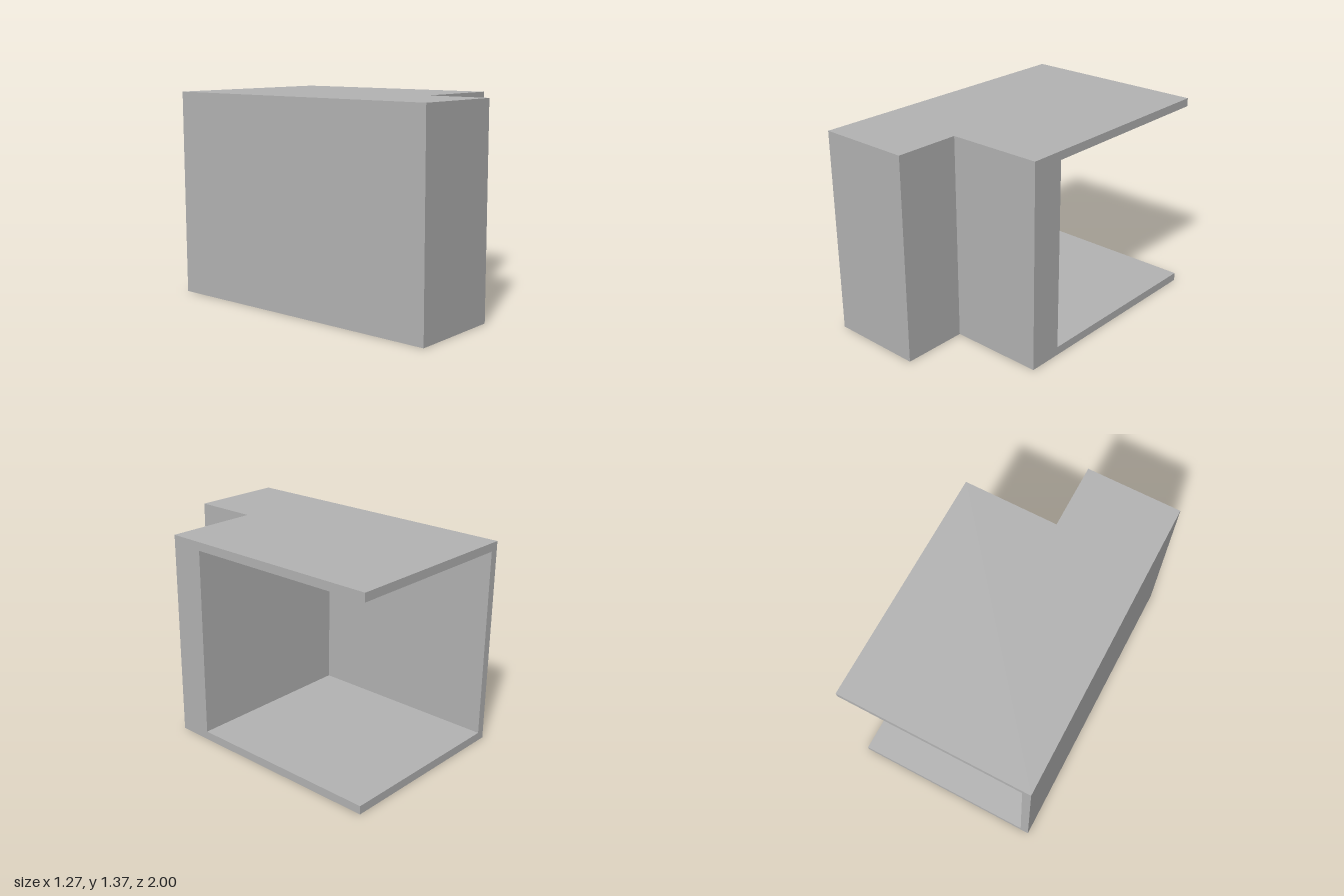
import * as THREE from 'three';

const W = 0.635;      // half width
const H = 1.37;       // total height
const T = 0.056;      // shell thickness
const STEP_Z = 0.56;  // front of the recessed half
const INNER_Z = 0.33; // front end of the cavity

// Extrudes a floor-plan outline of [x, z] points upward from y0 to y1.
function slab(name, outline, y0, y1, material) {
  const shape = new THREE.Shape(outline.map(([x, z]) => new THREE.Vector2(x, -z)));
  const geometry = new THREE.ExtrudeGeometry(shape, { depth: y1 - y0, bevelEnabled: false });
  geometry.rotateX(-Math.PI / 2);
  geometry.translate(0, y0, 0);
  const mesh = new THREE.Mesh(geometry, material);
  mesh.name = name;
  return mesh;
}

export function createModel() {
  const group = new THREE.Group();
  group.name = 'openShell';
  const grey = new THREE.MeshStandardMaterial({ color: 0xb4b4b4 });
  grey.name = 'plain grey';

  // Stepped front edge shared by every layer
  const front = [[-W, -1], [-W, 1], [0, 1], [0, STEP_Z], [W, STEP_Z]];
  const plate = [...front, [W, -1]];
  // Walls: thick stepped front and thin right side, open at the back and left
  const walls = [...front, [W, INNER_Z], [-W + T, INNER_Z], [-W + T, -1]];

  group.add(
    slab('floor', plate, 0, T, grey),
    slab('walls', walls, T, H - T, grey),
    slab('roof', plate, H - T, H, grey),
  );
  return group;
}
